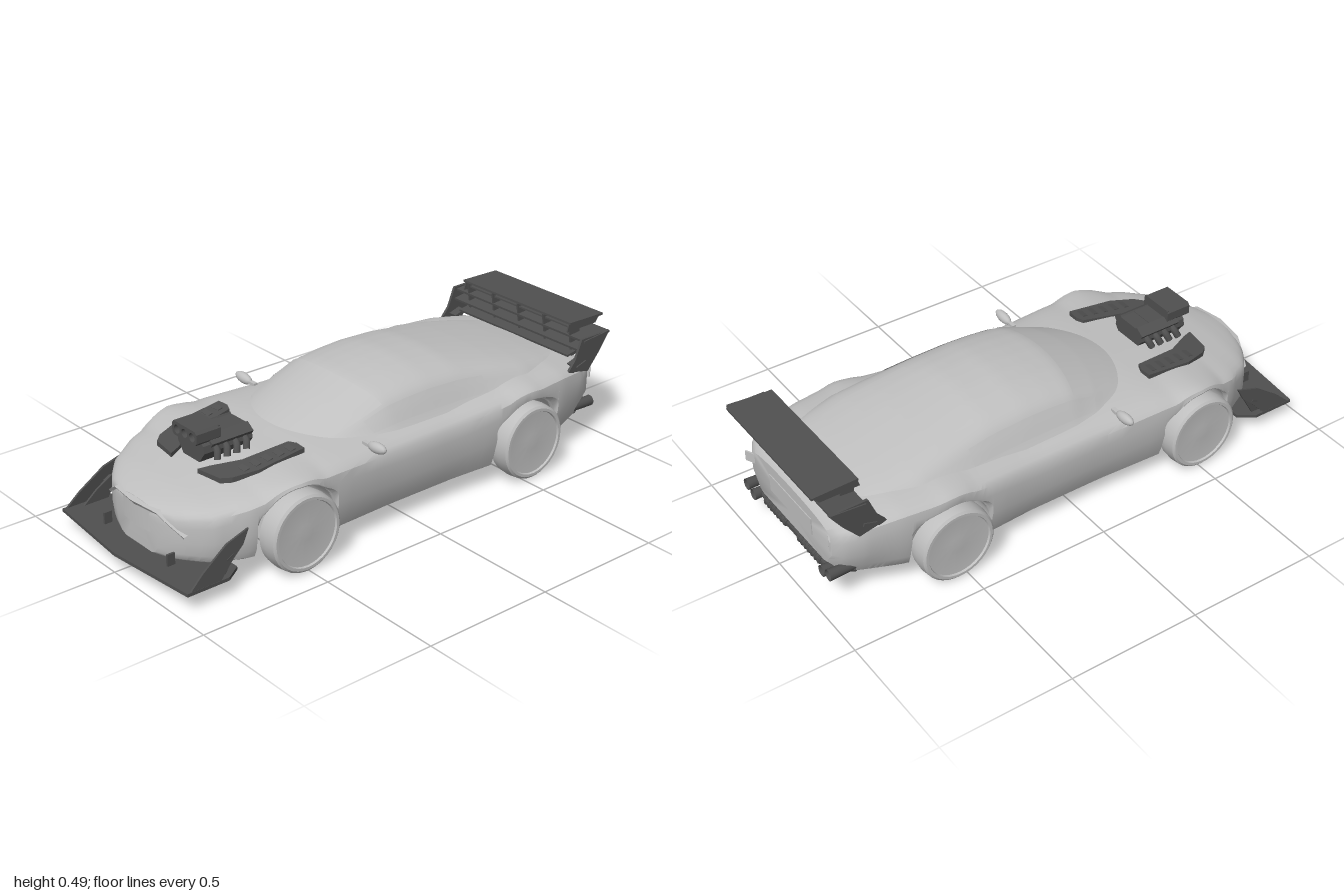
import * as THREE from 'three';
import { toCreasedNormals } from 'three/addons/utils/BufferGeometryUtils.js';

const paint = new THREE.MeshStandardMaterial({ color: 0xbfbfbf, side: THREE.DoubleSide });
paint.name = 'silver grey';
const dark = new THREE.MeshStandardMaterial({ color: 0x505050, side: THREE.DoubleSide });
dark.name = 'charcoal';

// Linear look-up in a table whose first column falls.
function sample(keys, key) {
  let i = 0;
  while (i < keys.length - 2 && key < keys[i + 1][0]) i++;
  const [a, b] = [keys[i], keys[i + 1]];
  const t = THREE.MathUtils.clamp((key - a[0]) / (b[0] - a[0]), 0, 1);
  return a.map((v, k) => v + (b[k] - v) * t);
}

// Surface through rows of points, with sharp edges kept.
function loft(rows, crease = 0.6) {
  const n = rows[0].length, index = [];
  for (let r = 0; r < rows.length - 1; r++) for (let i = 0; i < n - 1; i++) {
    const a = r * n + i, b = a + 1, c = a + n, d = c + 1;
    index.push(a, b, c, b, d, c);
  }
  const g = new THREE.BufferGeometry();
  g.setAttribute('position', new THREE.Float32BufferAttribute(rows.flat(2), 3));
  g.setIndex(index);
  return toCreasedNormals(g, crease);
}

function extrude(points, depth) {
  const shape = new THREE.Shape(points.map(p => new THREE.Vector2(...p)));
  return new THREE.ExtrudeGeometry(shape, { depth, bevelEnabled: false });
}
// Upright plate from (z, y) points, and flat plate from (x, z) points.
const sidePlate = (pts, x, t) => extrude(pts, t).rotateY(-Math.PI / 2).translate(x + t / 2, 0, 0);
const flatPlate = (pts, y, t) => extrude(pts, t).rotateX(Math.PI / 2).translate(0, y, 0);
const box = (w, h, d, x, y, z, tilt = 0) => new THREE.BoxGeometry(w, h, d).rotateX(tilt).translate(x, y, z);
const tube = (pts, r) => new THREE.TubeGeometry(
  new THREE.CatmullRomCurve3(pts.map(p => new THREE.Vector3(...p))), 12, r, 8);

// Lower body: z, top centre, half width, shoulder height, sill half width, floor
const BODY = [
  [0.90, 0.25, 0.12, 0.20, 0.11, 0.075], [0.87, 0.262, 0.20, 0.20, 0.19, 0.072],
  [0.80, 0.283, 0.285, 0.21, 0.275, 0.07], [0.69, 0.305, 0.345, 0.24, 0.335, 0.07],
  [0.51, 0.335, 0.387, 0.28, 0.375, 0.07], [0.35, 0.35, 0.382, 0.27, 0.365, 0.07],
  [0.10, 0.357, 0.369, 0.25, 0.35, 0.067], [-0.20, 0.36, 0.369, 0.25, 0.35, 0.067],
  [-0.40, 0.37, 0.382, 0.27, 0.365, 0.068], [-0.55, 0.375, 0.392, 0.30, 0.38, 0.07],
  [-0.72, 0.37, 0.37, 0.30, 0.35, 0.09], [-0.85, 0.355, 0.34, 0.285, 0.31, 0.105],
  [-0.91, 0.343, 0.31, 0.27, 0.28, 0.115], [-0.935, 0.315, 0.27, 0.25, 0.24, 0.14]];
const WHEELS = [0.51, -0.535], HUB = 0.145, ARCH = 0.157;

// The arches cut right across the floor.
function bodyRing(z, arch) {
  const [, top, w, s, sill, floor] = sample(BODY, z);
  const edge = arch ?? floor, shoulder = Math.max(s, edge + 0.008), tuck = arch ? 0.004 : 0.035;
  const half = [];
  for (let i = 0; i <= 10; i++) {
    const a = i / 10 * Math.PI / 2;
    half.push([w * Math.sin(a), shoulder + (top - shoulder) * Math.sqrt(Math.max(0, Math.cos(a))), z]);
  }
  const side = t => edge + (shoulder - edge) * t;
  half.push([w * 0.997, side(0.6), z], [sill, side(0.25), z], [sill - tuck * 0.35, side(0.08), z],
    [sill - tuck, edge, z], [sill * 0.6, edge, z], [0, edge, z]);
  return [...half, ...half.slice(0, -1).reverse().map(([x, y]) => [-x, y, z])];
}

function bodyGeometry() {
  const rows = [], steps = (a, b, n) => { for (let i = 0; i <= n; i++) rows.push(bodyRing(a + (b - a) * i / n)); };
  const arch = c => {
    for (let i = 0; i <= 20; i++) {
      const a = i / 20 * Math.PI;
      rows.push(bodyRing(c + ARCH * Math.cos(a), HUB + ARCH * Math.sin(a)));
    }
  };
  steps(0.90, WHEELS[0] + ARCH, 9);
  arch(WHEELS[0]);
  steps(WHEELS[0] - ARCH, WHEELS[1] + ARCH, 12);
  arch(WHEELS[1]);
  steps(WHEELS[1] - ARCH, -0.935, 12);
  const cap = (ring, dz) => ring.map(([, , z]) => [0, 0.2, z + dz]);
  return loft([cap(rows[0], 0.004), ...rows, cap(rows.at(-1), 0)]);
}

// Cabin: z, roof height, half width; then the cross-section as width and height fractions
const CABIN = [[0.35, 0.35, 0.28], [0.30, 0.372, 0.29], [0.20, 0.415, 0.305], [0.07, 0.466, 0.312], [-0.05, 0.48, 0.314],
  [-0.15, 0.486, 0.316], [-0.30, 0.476, 0.32], [-0.50, 0.437, 0.337], [-0.60, 0.415, 0.342], [-0.72, 0.388, 0.315], [-0.84, 0.358, 0.27]];
const SECTION = [[1, 0], [0.935, 0.16], [0.86, 0.42], [0.79, 0.64], [0.7, 0.76], [0.58, 0.86], [0.4, 0.94], [0.2, 0.985], [0, 1]];
// Patch of the cabin skin between two stations and two width fractions, lifted off by a gap.
function cabinPatch(z0, z1, f0, f1, gap, nz = 24, nf = 24) {
  const rows = [];
  for (let r = 0; r <= nz; r++) {
    const z = z0 + (z1 - z0) * r / nz, [, top, w] = sample(CABIN, z);
    const bend = 0.15 * THREE.MathUtils.clamp((z + 0.05) / 0.4, 0, 1);
    const row = [];
    for (let i = 0; i <= nf; i++) {
      const f = f0 + (f1 - f0) * i / nf, x = w * f;
      row.push([x + gap * f, 0.32 + (top - 0.32) * sample(SECTION, Math.abs(f))[1] + gap, z - bend * (x / 0.3) ** 2]);
    }
    rows.push(row);
  }
  return loft(rows, 0.5);
}

export function createModel() {
  const car = new THREE.Group();
  car.name = 'raceCar';
  const add = (name, geo, mat = dark) => {
    const m = new THREE.Mesh(geo, mat);
    m.name = name;
    car.add(m);
    return m;
  };

  // Shell and glass
  add('body', bodyGeometry(), paint);
  add('cabin', cabinPatch(0.35, -0.84, -1, 1, 0, 40, 40), paint);
  add('windscreen', cabinPatch(0.33, 0.08, -0.78, 0.78, 0.002), paint);
  add('rearWindow', cabinPatch(-0.36, -0.70, -0.6, 0.6, 0.002), paint);

  // Nose panel, and the lip that overhangs the mouth
  const noseZ = x => 0.908 - 1.1 * x * x;
  const mouth = [[0.15, 0.19], [0.19, 0.155], [0.232, 0.115]].map(([y, w]) =>
    Array.from({ length: 13 }, (_, i) => { const x = w * (i / 6 - 1); return [x, y, noseZ(x)]; }));
  add('grille', loft(mouth), paint);
  const lipLine = [[-0.22, 0.18], [-0.17, 0.213], [-0.12, 0.244], [0, 0.248], [0.12, 0.244], [0.17, 0.213], [0.22, 0.18]];
  const lipRow = (drop, out) => lipLine.map(([x, y]) => [x * (1 - drop * 2.5), y - drop, noseZ(x) + out]);
  add('grilleLip', loft([lipRow(0.022, 0.001), lipRow(0.003, 0.014), lipRow(-0.004, -0.02)], 0.4), paint);

  // Rear panel
  add('platePanel', box(0.28, 0.07, 0.008, 0, 0.235, -0.934), paint);

  // Wheels
  const rim = [[0, -0.02], [0.1, -0.03], [0.105, -0.043], [0.13, -0.043], [0.14, -0.036], [0.144, 0], [0.14, 0.036],
    [0.132, 0.043], [0.122, 0.043], [0.119, 0.036], [0.03, 0.03], [0, 0.036]].map(p => new THREE.Vector2(...p));
  const wheelGeo = toCreasedNormals(new THREE.LatheGeometry(rim, 36), 0.6);
  for (const s of [1, -1]) for (const z of WHEELS) {
    const w = add(z > 0 ? 'frontWheel' : 'rearWheel', wheelGeo, paint);
    w.rotation.z = -s * Math.PI / 2;
    w.position.set(s * 0.37, HUB, z);
  }

  // Front splitter with hanging blades
  add('splitter', flatPlate([[-0.37, 0.80], [-0.33, 0.74], [0.33, 0.74], [0.37, 0.80], [0.37, 0.965], [0, 0.998], [-0.37, 0.965]], 0.074, 0.012));
  for (let i = 0; i < 8; i++) add('underBlade', box(0.01, 0.038, 0.04, (i - 3.5) * 0.0333, 0.045, 0.885, 0.2));

  // Engine and blower
  add('engineBlock', extrude([[-0.045, 0.32], [0.045, 0.32], [0.075, 0.36], [0.07, 0.385], [0.045, 0.405], [-0.045, 0.405],
    [-0.07, 0.385], [-0.075, 0.36]], 0.2).translate(0, 0, 0.475));
  add('blower', box(0.1, 0.025, 0.13, 0, 0.395, 0.6));
  const throats = new THREE.Shape([[-0.06, 0.392], [0.06, 0.392], [0.069, 0.402], [0.069, 0.434], [0.06, 0.444], [-0.06, 0.444],
    [-0.069, 0.434], [-0.069, 0.402]].map(p => new THREE.Vector2(...p)));
  for (const x of [-0.042, 0, 0.042]) throats.holes.push(new THREE.Path().absarc(x, 0.417, 0.016, 0, Math.PI * 2, true));
  add('airScoop', new THREE.ExtrudeGeometry(throats, { depth: 0.1, bevelEnabled: false }).translate(0, 0, 0.6));
  add('airScoopBack', box(0.13, 0.05, 0.008, 0, 0.417, 0.604));

  // Rear wing
  add('upperWing', box(0.57, 0.008, 0.172, 0, 0.486, -0.914, -0.02));
  add('middleWing', box(0.70, 0.008, 0.13, 0, 0.438, -0.905, 0.08));
  add('lowerWing', box(0.66, 0.008, 0.1, 0, 0.405, -0.875, 0.12));
  add('bootSlat', box(0.58, 0.008, 0.08, 0, 0.372, -0.855, 0.15));
  add('crossSlat', box(0.54, 0.006, 0.07, 0, 0.464, -0.88));
  for (const x of [-0.27, -0.135, 0, 0.135, 0.27]) add('wingStrut', box(0.007, 0.13, 0.05, x, 0.418, -0.87, 0.15));

  // Rear bumper bar
  add('rearBar', box(0.4, 0.016, 0.05, 0, 0.122, -0.915));

  for (const s of [1, -1]) {
    // Side windows and mirrors
    const side = s > 0 ? [0.81, 0.925] : [-0.925, -0.81];
    add('sideWindow', cabinPatch(0.2, -0.40, ...side, 0.003, 20, 6), paint);
    const mirror = add('mirror', new THREE.SphereGeometry(1, 16, 10), paint);
    mirror.scale.set(0.045, 0.02, 0.018);
    mirror.position.set(s * 0.37, 0.338, 0.178);
    mirror.rotation.z = s * 0.08;
    add('mirrorArm', box(0.05, 0.012, 0.016, s * 0.325, 0.334, 0.178), paint);

    // Splitter end fins, leaning inwards, and struts
    const fin = [[0.96, 0.065], [0.90, 0.12], [0.80, 0.19], [0.71, 0.218], [0.735, 0.17], [0.78, 0.13], [0.84, 0.065]];
    const leaning = add('splitterFin', sidePlate(fin, 0, 0.008));
    leaning.position.x = s * 0.371;
    leaning.rotation.z = s * 0.08;
    const inner = [[0.90, 0.07], [0.84, 0.12], [0.78, 0.155], [0.75, 0.155], [0.80, 0.07]];
    add('innerFin', sidePlate(inner, s * 0.342, 0.008));
    add('finStrut', box(0.025, 0.008, 0.03, s * 0.352, 0.14, 0.79, 0.5));
    add('splitterStrut', box(0.008, 0.05, 0.03, s * 0.185, 0.092, 0.90));

    // Bonnet vents
    const vent = [[0.165, 0.395], [0.195, 0.382], [0.24, 0.385], [0.236, 0.57], [0.207, 0.66], [0.18, 0.69], [0.075, 0.705],
      [0.09, 0.665], [0.14, 0.57]];
    const slope = g => {
      const p = g.attributes.position;
      for (let i = 0; i < p.count; i++) p.setY(i, p.getY(i) - 0.12 * (p.getZ(i) - 0.38));
      g.computeVertexNormals();
      return g;
    };
    add('bonnetVent', slope(flatPlate(vent.map(([x, z]) => [s * x, z]), 0.356, 0.03)));
    for (let i = 0; i < 5; i++) add('ventLouvre', slope(box(0.04, 0.006, 0.02, s * (0.205 - i * 0.004), 0.356, 0.42 + i * 0.045, 0.2)));

    // Exhaust headers and valve covers
    for (let i = 0; i < 4; i++) {
      const z = 0.505 + i * 0.04;
      add('header', tube([[s * 0.055, 0.37, z], [s * 0.078, 0.362, z], [s * 0.092, 0.335, z + 0.01]], 0.013));
    }
    const cover = add('valveCover', box(0.04, 0.024, 0.17, 0, 0, 0));
    cover.position.set(s * 0.058, 0.39, 0.56);
    cover.rotation.z = -s * 0.6;

    // Wing end plates
    const plate = [[-0.74, 0.30], [-0.80, 0.37], [-0.83, 0.445], [-0.975, 0.445], [-0.93, 0.38], [-0.87, 0.31], [-0.80, 0.325]];
    add('wingEndPlate', sidePlate(plate, s * 0.34, 0.01));
    add('wingTipPlate', sidePlate([[-0.82, 0.455], [-0.83, 0.488], [-0.995, 0.488], [-0.97, 0.455]], s * 0.275, 0.006));
    add('wingBracket', box(0.05, 0.012, 0.05, s * 0.325, 0.345, -0.83, 0.3));

    // Tail lamp panel
    const lamp = add('tailLamp', box(0.09, 0.04, 0.006, 0, 0, 0), paint);
    lamp.position.set(s * 0.245, 0.262, -0.93);
    lamp.rotation.y = s * 0.45;

    // Silencer with ribs and twin tips
    const can = new THREE.CylinderGeometry(0.016, 0.016, 0.15, 12).rotateZ(Math.PI / 2);
    add('silencer', can.translate(s * 0.115, 0.122, -0.93));
    for (let i = 0; i < 7; i++)
      add('silencerRib', new THREE.TorusGeometry(0.016, 0.004, 6, 12).rotateY(Math.PI / 2).translate(s * (0.05 + i * 0.022), 0.122, -0.93));
    add('exhaustPipe', tube([[s * 0.18, 0.122, -0.93], [s * 0.24, 0.125, -0.92], [s * 0.29, 0.13, -0.86]], 0.013));
    for (const [x, y] of [[0.235, 0.125], [0.28, 0.14]]) {
      const tip = new THREE.CylinderGeometry(0.021, 0.017, 0.1, 14, 1, true).rotateX(-Math.PI / 2);
      add('exhaustTip', tip.translate(s * x, y, -0.912));
    }
  }
  return car;
}
